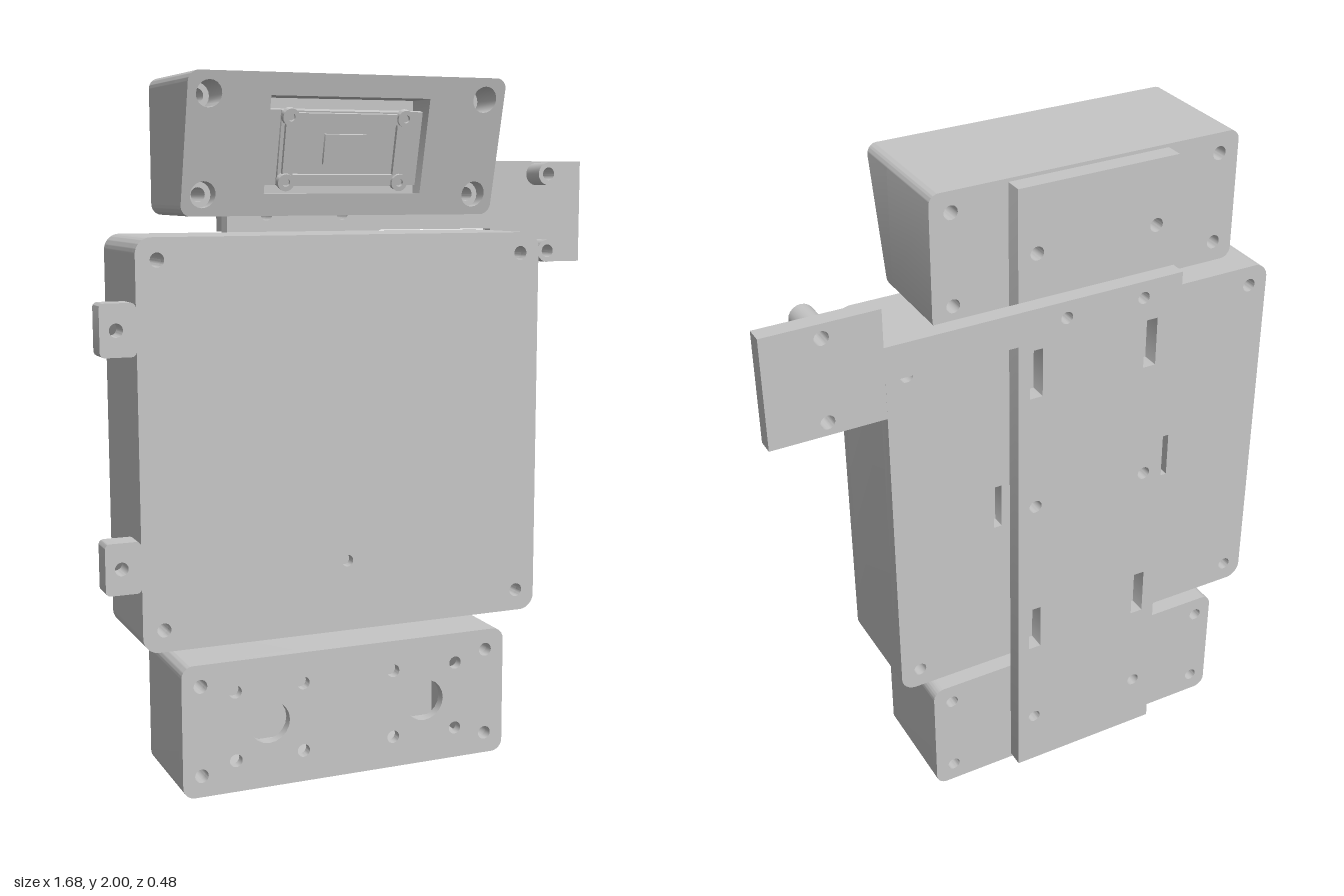
import * as THREE from 'three';
import { toCreasedNormals } from 'three/addons/utils/BufferGeometryUtils.js';

const grey = new THREE.MeshStandardMaterial({ color: 0xc6c6c6 });
grey.name = 'light grey plastic';

// Rounded rectangle outline
function rect(path, x0, x1, y0, y1, r = 0.001) {
  path.moveTo(x0 + r, y0);
  path.lineTo(x1 - r, y0);
  path.absarc(x1 - r, y0 + r, r, -Math.PI / 2, 0);
  path.lineTo(x1, y1 - r);
  path.absarc(x1 - r, y1 - r, r, 0, Math.PI / 2);
  path.lineTo(x0 + r, y1);
  path.absarc(x0 + r, y1 - r, r, Math.PI / 2, Math.PI);
  path.lineTo(x0, y0 + r);
  path.absarc(x0 + r, y0 + r, r, Math.PI, Math.PI * 1.5);
  return path;
}
const outline = (...a) => rect(new THREE.Shape(), ...a);
const slot = (...a) => rect(new THREE.Path(), ...a);
const round = (x, y, r = 0.02) => new THREE.Path().absarc(x, y, r, 0, Math.PI * 2);
// Round holes on every crossing of the given columns and rows
const grid = (xs, ys, r) => xs.flatMap((x) => ys.map((y) => round(x, y, r)));

// Slab from z0 to z1; lean(y) gives an optional offset for the front face
function slab(name, shape, holes, z0, z1, lean) {
  shape.holes = holes;
  const g = new THREE.ExtrudeGeometry(shape, { depth: z1 - z0, bevelEnabled: false, curveSegments: 10 });
  g.translate(0, 0, z0);
  if (lean) {
    const p = g.attributes.position;
    for (let i = 0; i < p.count; i++) {
      if (p.getZ(i) > (z0 + z1) / 2) p.setZ(i, p.getZ(i) + lean(p.getY(i)));
    }
  }
  const mesh = new THREE.Mesh(toCreasedNormals(g, 0.6), grey);
  mesh.name = name;
  return mesh;
}

function group(name, ...children) {
  const g = new THREE.Group();
  g.name = name;
  g.add(...children);
  return g;
}

// Large middle enclosure with lid and two ears
function mainBox() {
  const shape = () => outline(-0.74, 0.473, 0.435, 1.568, 0.045);
  const corners = () => grid([-0.68, 0.413], [0.497, 1.508]);
  const g = group('mainEnclosure',
    slab('mainLid', shape(), [...corners(), round(-0.135, 0.64, 0.017)], 0.16, 0.19),
    slab('mainBody', shape(), corners(), -0.10, 0.16),
    slab('mainBack', shape(),
      [...corners(), slot(0.135, 0.16, 0.93, 1.07), slot(-0.43, -0.405, 0.93, 1.07)], -0.14, -0.10));
  for (const y of [0.68, 1.325]) {
    g.add(slab('mountingEar', outline(-0.84, -0.74, y - 0.072, y + 0.072, 0.014),
      [round(-0.795, y, 0.019)], 0.12, 0.19));
  }
  return g;
}

// Hollow lower enclosure with two round sensor openings
function lowerBox() {
  const shape = () => outline(-0.635, 0.372, 0, 0.385, 0.035);
  const corners = () => grid([-0.58, 0.312], [0.062, 0.323]);
  return group('lowerEnclosure',
    slab('lowerFace', shape(), [...corners(), ...grid([-0.377, 0.11], [0.192], 0.062),
      ...grid([-0.478, -0.273, 0.01, 0.212], [0.092, 0.294], 0.019)], 0.16, 0.19),
    slab('lowerWalls', shape(), [...corners(), slot(-0.55, 0.28, 0.03, 0.36)], -0.11, 0.16),
    slab('lowerBack', shape(), [...corners(), ...grid([-0.313, 0.052], [0.192])], -0.14, -0.11));
}

// Upper enclosure with a face that leans forward at the top
function upperBox() {
  const slope = 0.1 / 0.38;
  const lean = (y) => (y - 1.62) * slope;
  const shape = () => outline(-0.6, 0.333, 1.62, 2, 0.03);
  const xs = [-0.54, 0.272], ys = [1.678, 1.941];

  // Small framed module on a tilted mount inside the face window
  const w = 0.17, h = 0.09;
  const module = group('displayModule',
    slab('moduleMount', outline(-0.233, 0.233, -0.104, 0.104), [], -0.05, -0.034),
    slab('board', outline(-w - 0.02, w + 0.02, -h - 0.014, h + 0.014), [], -0.034, -0.024),
    slab('frame', outline(-w - 0.01, w + 0.01, -h - 0.01, h + 0.01, 0.01),
      [slot(-w + 0.02, w - 0.02, -h + 0.02, h - 0.02)], -0.024, -0.012),
    slab('chip', outline(-0.062, 0.062, -0.042, 0.042), [], -0.024, -0.014));
  for (const x of [-w, w]) {
    for (const y of [-h, h]) {
      const ring = new THREE.Shape().absarc(x, y, 0.024, 0, Math.PI * 2);
      module.add(slab('moduleScrew', ring, [round(x, y, 0.011)], -0.024, -0.003));
    }
  }
  module.position.set(-0.133, 1.796, 0.14 + lean(1.796));
  module.rotation.x = Math.atan(slope);

  return group('upperEnclosure',
    slab('slantedFace', shape(),
      [...grid(xs, ys, 0.036), slot(-0.367, 0.102, 1.68, 1.94)], 0.11, 0.14, lean),
    slab('upperBody', shape(), grid(xs, ys, 0.02), -0.14, 0.11),
    module);
}

// Long strip that joins the three enclosures at the back
function backPlate() {
  const cols = [-0.313, 0.052];
  const slots = cols.flatMap((x) => [0.55, 1.44].map((y) => slot(x - 0.02, x + 0.02, y - 0.075, y + 0.075)));
  return slab('backPlate', outline(-0.375, 0.108, 0.013, 1.99),
    [...grid(cols, [0.192, 1.0, 1.8]), ...slots, ...grid([-0.253, -0.013], [1.618], 0.018)], -0.192, -0.14);
}

// Side arm ending in a square pad with two standoffs
function sideArm() {
  const s = new THREE.Shape([
    [-0.375, 1.568], [0.515, 1.568], [0.515, 1.46], [0.838, 1.46],
    [0.838, 1.778], [0.515, 1.778], [0.515, 1.668], [-0.375, 1.668],
  ].map(([x, y]) => new THREE.Vector2(x, y)));
  const g = group('sideArm', slab('armPlate', s,
    [...grid([-0.253, -0.013], [1.618], 0.018), ...grid([0.677], [1.498, 1.738])], -0.24, -0.192));
  for (const y of [1.498, 1.738]) {
    const ring = new THREE.Shape().absarc(0.677, y, 0.035, 0, Math.PI * 2);
    g.add(slab('standoff', ring, [round(0.677, y)], -0.192, -0.112));
  }
  return g;
}

export function createModel() {
  return group('deviceMount', mainBox(), lowerBox(), upperBox(), backPlate(), sideArm());
}
